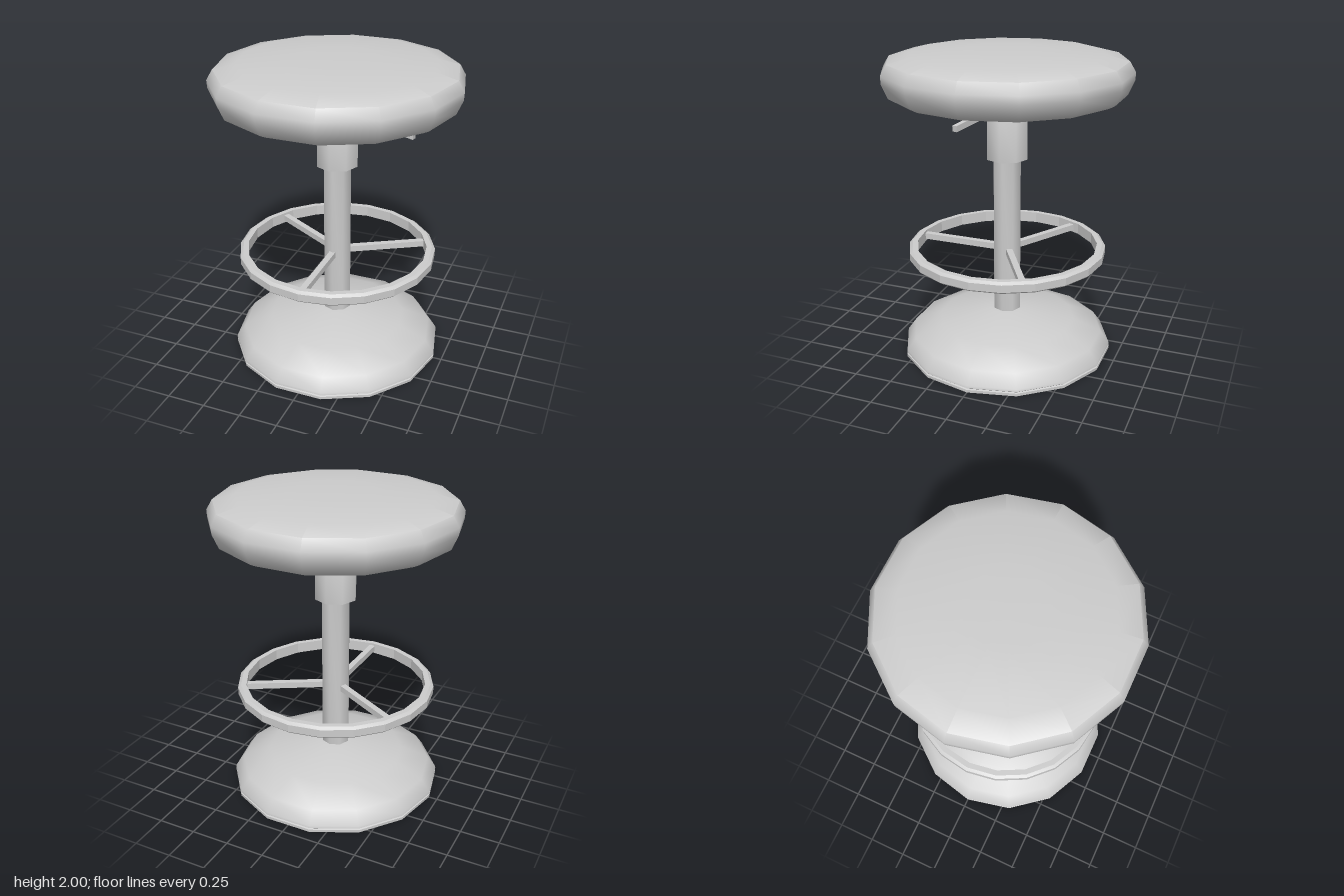
import * as THREE from 'three';
import { toCreasedNormals } from 'three/addons/utils/BufferGeometryUtils.js';

const grey = new THREE.MeshStandardMaterial({ color: 0xcccccc });
grey.name = 'light grey';

// Turned part: profile runs bottom to top as [radius, y]; a corner points along +x
function turned(name, profile, sides, crease) {
  const points = profile.map(([r, y]) => new THREE.Vector2(r, y));
  const geometry = new THREE.LatheGeometry(points, sides).rotateY(Math.PI / 2);
  const mesh = new THREE.Mesh(toCreasedNormals(geometry, crease), grey);
  mesh.name = name;
  return mesh;
}

// Square bar between two points
function bar(name, from, to, width, height) {
  const a = new THREE.Vector3(...from);
  const b = new THREE.Vector3(...to);
  const mesh = new THREE.Mesh(new THREE.BoxGeometry(width, height, a.distanceTo(b)), grey);
  mesh.name = name;
  mesh.position.copy(a).add(b).multiplyScalar(0.5);
  mesh.lookAt(b);
  return mesh;
}

export function createModel() {
  const stool = new THREE.Group();
  stool.name = 'stool';

  // Domed foot with a thin rim
  stool.add(turned('base', [
    [0, 0], [0.695, 0], [0.695, 0.018], [0.685, 0.022], [0.695, 0.03],
    [0.692, 0.045], [0.635, 0.125], [0.45, 0.205], [0.12, 0.272], [0, 0.272],
  ], 14, 0.7));

  // Column and the collar under the seat
  stool.add(turned('column', [[0, 0.2], [0.093, 0.2], [0.093, 1.4], [0, 1.4]], 8, 0.9));
  stool.add(turned('collar', [
    [0, 1.315], [0.137, 1.315], [0.137, 1.64], [0.112, 1.69], [0, 1.69],
  ], 8, 0.9));

  // Padded seat
  stool.add(turned('seat', [
    [0, 1.677], [0.22, 1.677], [0.34, 1.685], [0.7, 1.72], [0.742, 1.742],
    [0.78, 1.83], [0.783, 1.88], [0.745, 1.945], [0.61, 1.98], [0.25, 2], [0, 2],
  ], 14, 0.8));

  // Foot ring with faceted sides
  stool.add(turned('footRing', [
    [0.59, 0.664], [0.635, 0.664], [0.645, 0.674], [0.645, 0.722],
    [0.625, 0.736], [0.59, 0.736], [0.59, 0.664],
  ], 20, 0.2));

  // Three spokes, one pointing to the front
  for (let i = 0; i < 3; i++) {
    const angle = (i * 2 * Math.PI) / 3;
    const s = Math.sin(angle);
    const c = Math.cos(angle);
    stool.add(bar('spoke', [0.07 * s, 0.7, 0.07 * c], [0.605 * s, 0.7, 0.605 * c], 0.04, 0.04));
  }

  // Height lever
  stool.add(bar('lever', [0.05, 1.667, 0], [0.53, 1.62, 0.12], 0.03, 0.036));

  return stool;
}
